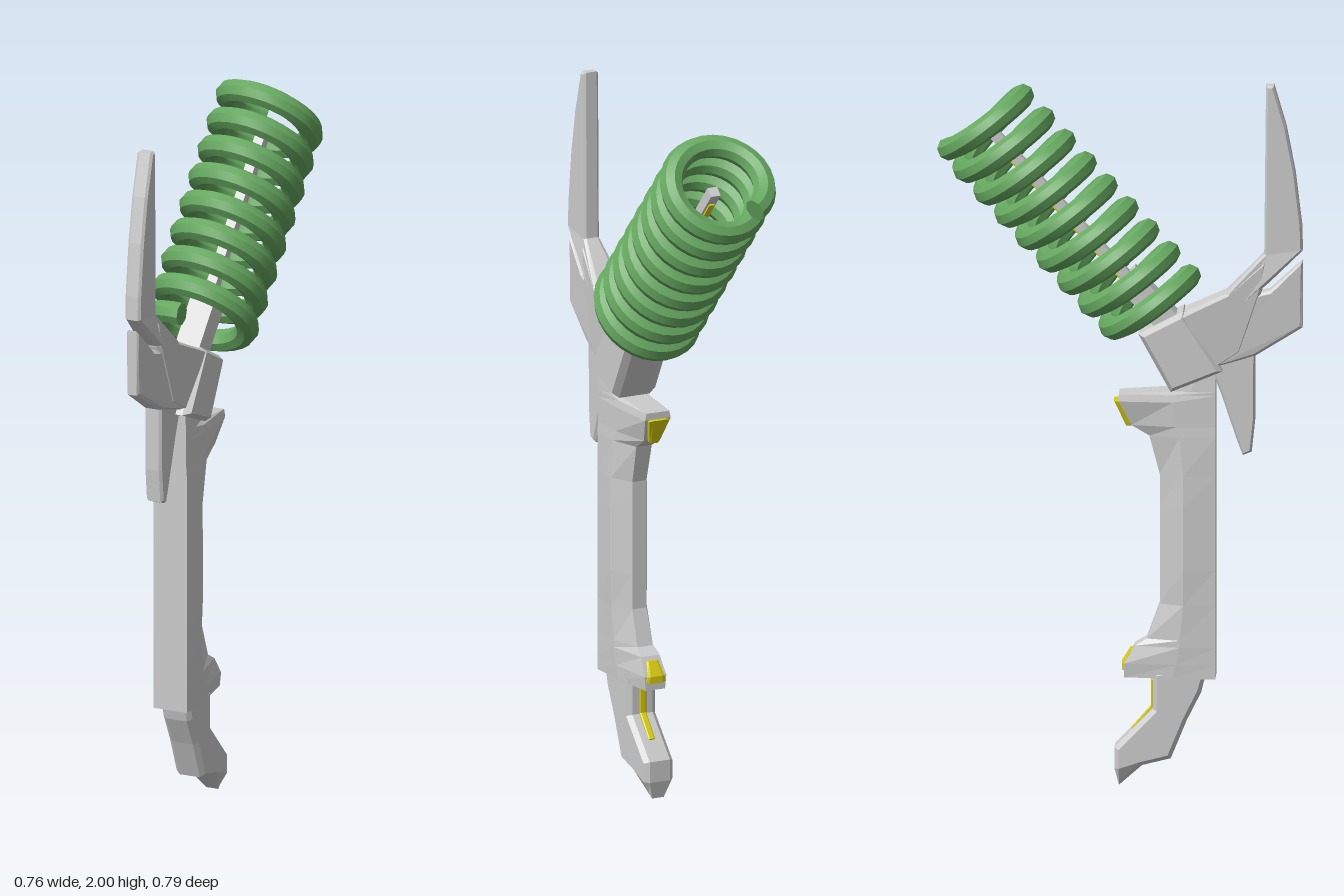
import * as THREE from 'three';
import { toCreasedNormals } from 'three/addons/utils/BufferGeometryUtils.js';
import { ParametricGeometry } from 'three/addons/geometries/ParametricGeometry.js';

const grey = new THREE.MeshStandardMaterial({ color: 0xcccccc, flatShading: true });
const yellow = new THREE.MeshStandardMaterial({ color: 0xd8cc10, flatShading: true });
const green = new THREE.MeshStandardMaterial({ color: 0x66a860, side: THREE.DoubleSide });

function add(parent, name, geometry, material = grey) {
  const mesh = new THREE.Mesh(geometry, material);
  mesh.name = name;
  parent.add(mesh);
  return mesh;
}

// Chamfered plate from a side outline; halfWidth(x, y) sets its thickness.
function plate(outline, halfWidth, bevel = 0.01) {
  const shape = new THREE.Shape(outline.map(([x, y]) => new THREE.Vector2(x, y)));
  const geo = new THREE.ExtrudeGeometry(shape, {
    depth: 1.4, bevelEnabled: true, bevelSegments: 1,
    bevelSize: bevel, bevelOffset: -bevel, bevelThickness: 0.3,
  });
  geo.translate(0, 0, -0.7);
  const p = geo.attributes.position;
  for (let i = 0; i < p.count; i++) p.setZ(i, p.getZ(i) * halfWidth(p.getX(i), p.getY(i)));
  geo.computeVertexNormals();
  return geo;
}

// Closed skin over rings of equal point count, listed from bottom to top.
function loft(rings) {
  const out = [];
  const n = rings[0].length;
  const tri = (...pts) => pts.forEach((q) => out.push(...q));
  for (let k = 0; k < rings.length - 1; k++) {
    const a = rings[k], b = rings[k + 1];
    for (let i = 0; i < n; i++) {
      const j = (i + 1) % n;
      tri(a[i], a[j], b[j]);
      tri(a[i], b[j], b[i]);
    }
  }
  const low = rings[0], top = rings[rings.length - 1];
  for (let i = 1; i < n - 1; i++) {
    tri(low[0], low[i + 1], low[i]);
    tri(top[0], top[i], top[i + 1]);
  }
  const geo = new THREE.BufferGeometry();
  geo.setAttribute('position', new THREE.Float32BufferAttribute(out, 3));
  geo.computeVertexNormals();
  return geo;
}

const lerp = THREE.MathUtils.lerp;
const headWidth = (x) => lerp(0.02, 0.066, THREE.MathUtils.clamp((x + 0.5) / 0.3, 0, 1));

function buildHandle() {
  const g = new THREE.Group();
  g.name = 'handle';
  // y, back x, ridge x, inner x, back / ridge / inner half width
  const levels = [
    [0.31, -0.29, -0.17, -0.035, 0.052, 0.048, 0.030],
    [0.35, -0.29, -0.18, -0.035, 0.052, 0.050, 0.034],
    [0.40, -0.29, -0.19, -0.065, 0.052, 0.052, 0.028],
    [0.42, -0.29, -0.19, -0.098, 0.052, 0.052, 0.024],
    [0.52, -0.29, -0.20, -0.134, 0.052, 0.054, 0.022],
    [0.62, -0.29, -0.20, -0.134, 0.052, 0.058, 0.022],
    [0.80, -0.29, -0.20, -0.134, 0.052, 0.058, 0.022],
    [0.89, -0.29, -0.20, -0.134, 0.052, 0.056, 0.022],
    [1.00, -0.29, -0.19, -0.105, 0.052, 0.052, 0.024],
    [1.03, -0.29, -0.18, -0.055, 0.050, 0.050, 0.026],
    [1.10, -0.29, -0.17, -0.020, 0.050, 0.050, 0.040],
    [1.12, -0.29, -0.17, -0.020, 0.050, 0.046, 0.036],
    [1.13, -0.29, -0.22, -0.170, 0.050, 0.046, 0.036],
    [1.20, -0.29, -0.25, -0.210, 0.046, 0.044, 0.036],
  ];
  add(g, 'grip', loft(levels.map(([y, b, m, f, wb, wm, wf]) => [
    [b, y, wb], [m, y, wm], [f, y, wf], [f, y, -wf], [m, y, -wm], [b, y, -wb],
  ])));
  // Yellow inserts on the tips of the two finger guards
  const upper = plate([[-0.055, 1.025], [-0.04, 1.025], [-0.006, 1.1], [-0.04, 1.1]], (x, y) => lerp(0.014, 0.032, (y - 1.025) / 0.075), 0.003);
  const lower = plate([[-0.06, 0.33], [-0.028, 0.33], [-0.028, 0.35], [-0.052, 0.39], [-0.075, 0.39]], (x, y) => lerp(0.03, 0.018, (y - 0.33) / 0.06), 0.003);
  add(g, 'upperGuardInsert', upper, yellow);
  add(g, 'lowerGuardInsert', lower, yellow);
  return g;
}

function buildFoot() {
  const g = new THREE.Group();
  g.name = 'foot';
  add(g, 'footHook', plate([
    [-0.265, 0.33], [-0.25, 0.27], [-0.21, 0.19], [-0.165, 0.08], [-0.085, 0.06], [-0.02, 0],
    [-0.008, 0.05], [-0.008, 0.11], [-0.115, 0.22], [-0.115, 0.33],
  ], (x, y) => (y < 0.04 ? 0.026 : 0.045), 0.012));
  add(g, 'footInsert', plate([
    [-0.13, 0.3], [-0.13, 0.21], [-0.06, 0.14], [-0.055, 0.162], [-0.109, 0.224], [-0.109, 0.3],
  ], () => 0.01, 0.002), yellow);
  return g;
}

function buildHead() {
  const g = new THREE.Group();
  g.name = 'head';
  add(g, 'blade', plate([
    [-0.43, 2], [-0.452, 2], [-0.487, 1.88], [-0.512, 1.75], [-0.53, 1.6], [-0.532, 1.53],
    [-0.44, 1.44], [-0.37, 1.38], [-0.32, 1.41], [-0.425, 1.52],
  ], (x, y) => (y > 1.45 ? 0.024 : headWidth(x)), 0.006));
  add(g, 'jaw', plate([
    [-0.532, 1.5], [-0.44, 1.415], [-0.33, 1.39], [-0.29, 1.2], [-0.4, 1.23], [-0.532, 1.31],
  ], (x) => headWidth(x) * 0.92, 0.008));
  add(g, 'neck', plate([
    [-0.43, 1.5], [-0.32, 1.41], [-0.19, 1.35], [-0.28, 1.19], [-0.36, 1.24], [-0.42, 1.42],
  ], headWidth, 0.008));
  add(g, 'collar', plate([
    [-0.2, 1.36], [-0.075, 1.295], [-0.165, 1.13], [-0.31, 1.19],
  ], () => 0.068, 0.012));
  add(g, 'lowerTine', plate([
    [-0.4, 1.25], [-0.27, 1.21], [-0.305, 1.12], [-0.345, 1.0], [-0.365, 0.945], [-0.39, 0.955], [-0.4, 1.05],
  ], () => 0.026, 0.006));
  return g;
}

// Coil spring and its rod, with the coil axis along local y
function buildSpring() {
  const g = new THREE.Group();
  g.name = 'springAssembly';
  const length = 0.726, turns = 8.42, radius = 0.13, wire = 0.033, sides = 8;
  const coilPoint = (s, t, target) => {
    const a = s * turns * Math.PI * 2, r = radius + wire * Math.cos(t);
    return target.set(-r * Math.cos(a), s * length - wire * Math.sin(t), -r * Math.sin(a));
  };
  const coil = new ParametricGeometry((s, t, target) => coilPoint(s, t * Math.PI * 2, target), 240, sides);
  add(g, 'coil', toCreasedNormals(coil, 0.5), green);
  for (const s of [0, 1]) {
    const cap = add(g, 'coilEnd', new THREE.CircleGeometry(wire, sides), green);
    const a = s * turns * Math.PI * 2;
    cap.position.set(-radius * Math.cos(a), s * length, -radius * Math.sin(a));
    cap.rotation.y = Math.atan2(Math.sin(a), -Math.cos(a));
  }
  const bar = (name, w, y0, y1, d, x = 0, material = grey) =>
    add(g, name, new THREE.BoxGeometry(w, y1 - y0, d), material).position.set(x, (y0 + y1) / 2, 0);
  bar('rodBase', 0.07, -0.14, 0.12, 0.075);
  bar('rod', 0.03, 0.1, 0.66, 0.03);
  bar('rodStrip', 0.008, 0.12, 0.62, 0.016, 0.016, yellow);
  g.position.set(-0.12, 1.365, 0);
  g.rotation.z = -THREE.MathUtils.degToRad(42.5);
  return g;
}

export function createModel() {
  const model = new THREE.Group();
  model.name = 'model';
  const body = new THREE.Group();
  body.name = 'body';
  body.add(buildHandle(), buildFoot(), buildHead(), buildSpring());
  // The flat body stands diagonally
  body.rotation.y = Math.PI / 4;
  model.add(body);
  return model;
}
